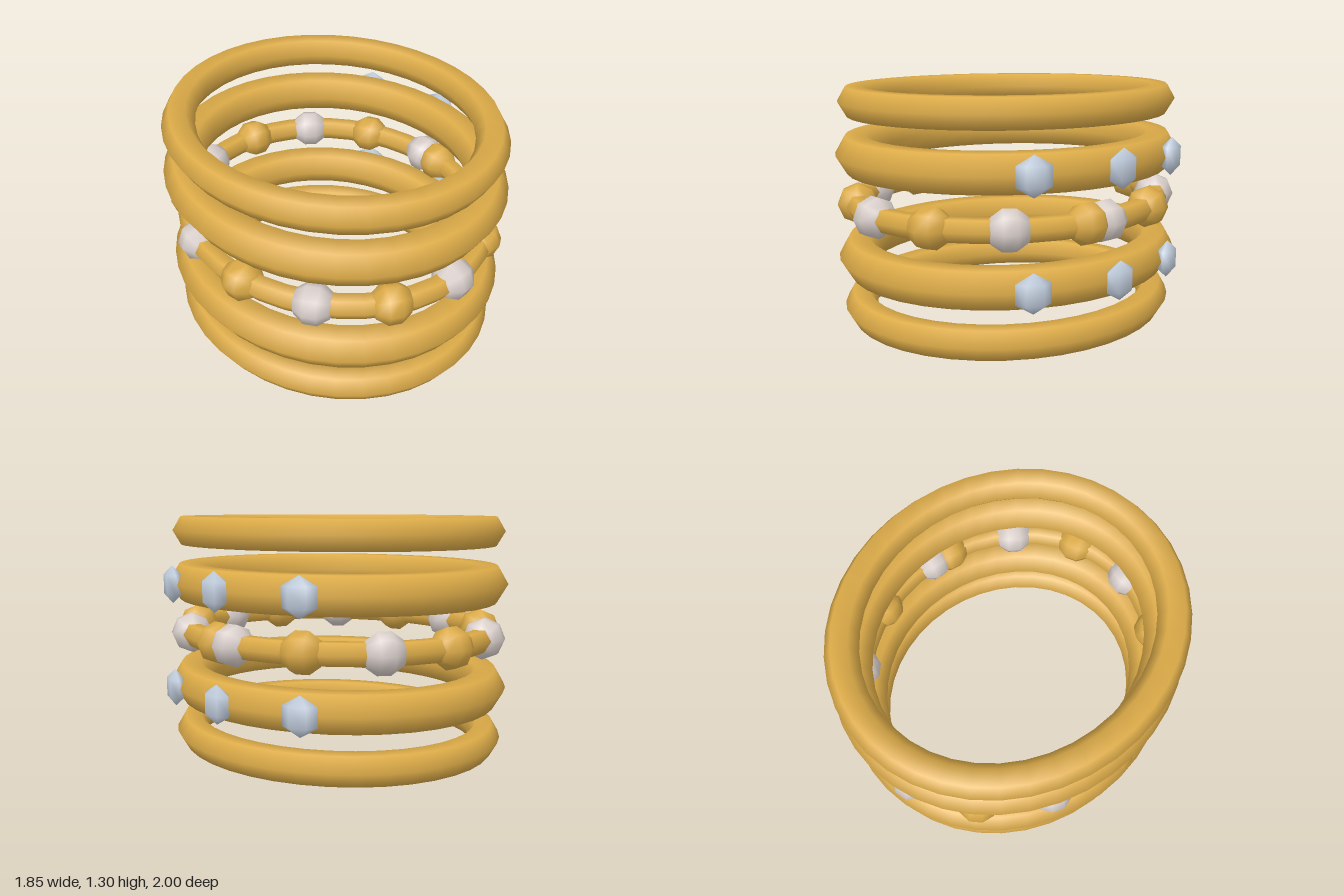
import * as THREE from 'three';

const RX = 0.79, RZ = 0.887, CX = -0.022; // oval centre line shared by all bangles
const rad = THREE.MathUtils.degToRad;

const gold = new THREE.MeshStandardMaterial({ color: 0xdcab48 });
const pearl = new THREE.MeshStandardMaterial({ color: 0xd9cfcb });
const crystal = new THREE.MeshStandardMaterial({ color: 0xc3cfdf });

// Oval bangle with a hexagonal section: a torus narrowed along x, keeping its thickness
function ovalRing(tube) {
  const geo = new THREE.TorusGeometry(RZ, tube, 6, 40);
  const pos = geo.attributes.position;
  for (let i = 0; i < pos.count; i++) {
    const t = Math.atan2(pos.getY(i), pos.getX(i));
    pos.setX(i, pos.getX(i) - (RZ - RX) * Math.cos(t));
  }
  geo.rotateX(Math.PI / 2);
  return geo;
}

function add(parent, name, geo, material) {
  const mesh = new THREE.Mesh(geo, material);
  mesh.name = name;
  parent.add(mesh);
  return mesh;
}

// Places a mesh on an oval at angle t, its z axis along the tangent
function placeOnOval(mesh, t, rx, rz) {
  mesh.position.set(rx * Math.cos(t), 0, rz * Math.sin(t));
  mesh.rotation.y = Math.atan2(-rx * Math.sin(t), rz * Math.cos(t));
}

function bangle(name, y, tube) {
  const group = new THREE.Group();
  group.name = name;
  group.position.set(CX, y, 0);
  add(group, 'band', ovalRing(tube), gold);
  return group;
}

export function createModel() {
  const model = new THREE.Group();
  model.name = 'bangleStack';

  // Plain thin bangles at the bottom and top
  model.add(bangle('bottomBangle', 0.078, 0.09));
  model.add(bangle('topBangle', 1.222, 0.09));

  // Thick bangles with three faceted stones on the left side
  const stoneGeo = new THREE.SphereGeometry(0.104, 6, 3);
  stoneGeo.rotateY(Math.PI / 2).scale(0.5, 1, 1);
  for (const [name, y] of [['lowerStoneBangle', 0.365], ['upperStoneBangle', 0.937]]) {
    const group = bangle(name, y, 0.113);
    for (const angle of [-28.4, 0, 28.4]) {
      placeOnOval(add(group, 'stone', stoneGeo, crystal), rad(angle), 0.907, 1.0);
    }
    model.add(group);
  }

  // Slim middle bangle with alternating pearl and gold beads threaded on it
  const beaded = bangle('beadedBangle', 0.653, 0.066);
  const beadGeo = new THREE.SphereGeometry(0.115, 8, 5).rotateX(Math.PI / 2);
  for (let i = 0; i < 14; i++) {
    const isPearl = i % 2 === 0;
    const bead = add(beaded, isPearl ? 'pearlBead' : 'goldBead', beadGeo, isPearl ? pearl : gold);
    placeOnOval(bead, rad(-27.1 * i), RX, RZ);
  }
  model.add(beaded);

  return model;
}
